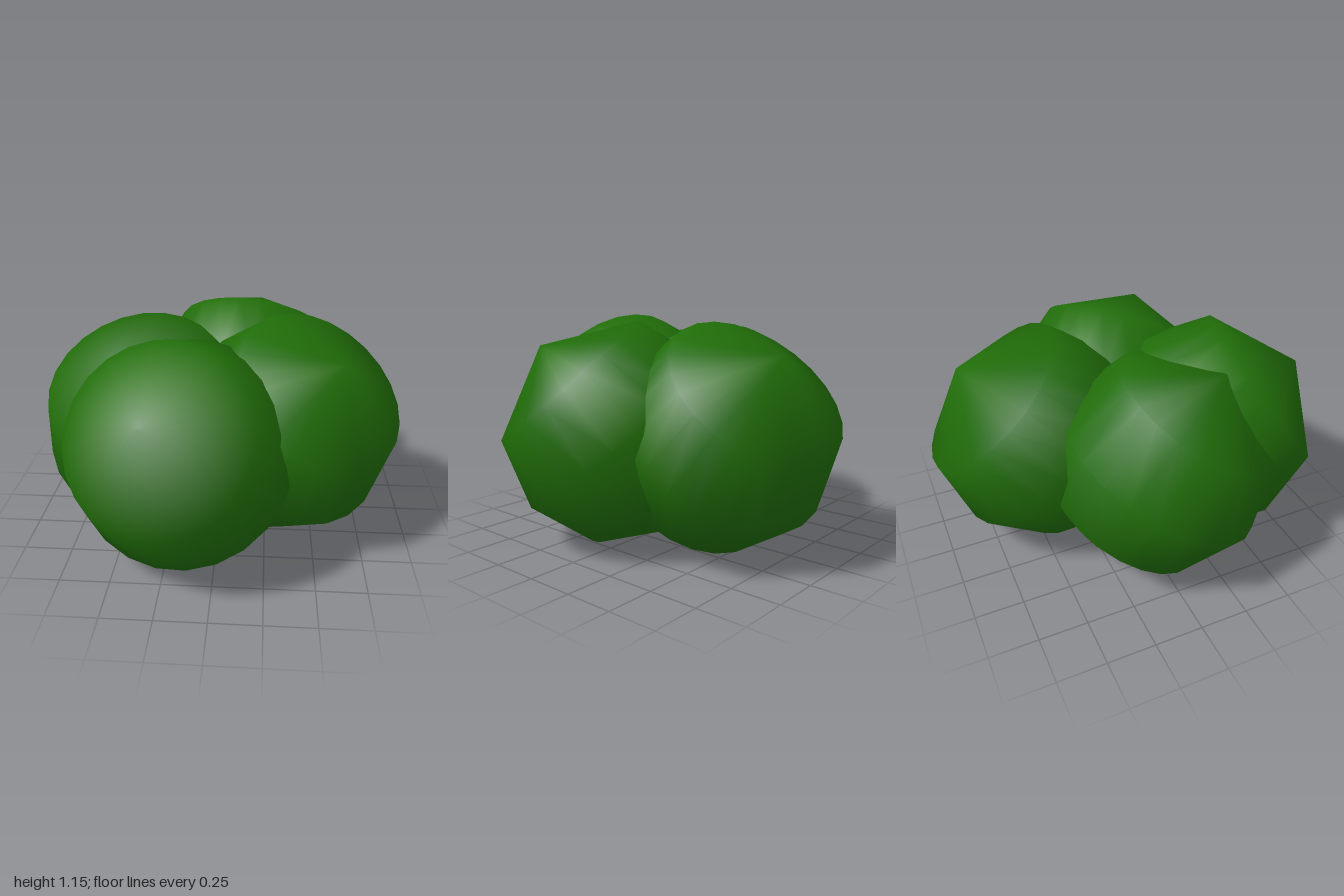
import * as THREE from 'three';

export function createModel() {
  const model = new THREE.Group();
  const leaves = new THREE.MeshStandardMaterial({ color: 0x206c08 });

  // Unit ball with many sides but few rings, and a wide cap at its outer pole
  const profile = [180, 162, 126, 90, 53, 0].map((deg) => {
    const a = THREE.MathUtils.degToRad(deg);
    return new THREE.Vector2(Math.sin(a), Math.cos(a));
  });
  const ball = new THREE.LatheGeometry(profile, 24);
  ball.setAttribute('normal', ball.attributes.position.clone());

  // Four round leaf clumps, each with its pole leaning its own way
  const clumps = [
    { name: 'frontClump', r: 0.575, at: [-0.175, 0.57, 0.44], pole: [-0.2, 0.59, 0.78] },
    { name: 'backClump', r: 0.57, at: [0.125, 0.57, -0.43], pole: [0.13, 0.75, -0.65] },
    { name: 'leftClump', r: 0.575, at: [0.36, 0.57, 0.09], pole: [0.44, 0.76, 0.47] },
    { name: 'rightClump', r: 0.575, at: [-0.365, 0.555, 0.07], pole: [-0.15, 0.85, 0.5] },
  ];
  const up = new THREE.Vector3(0, 1, 0);
  for (const { name, r, at, pole } of clumps) {
    const clump = new THREE.Mesh(ball, leaves);
    clump.name = name;
    clump.position.set(...at);
    clump.scale.setScalar(r);
    clump.quaternion.setFromUnitVectors(up, new THREE.Vector3(...pole).normalize());
    model.add(clump);
  }
  return model;
}
